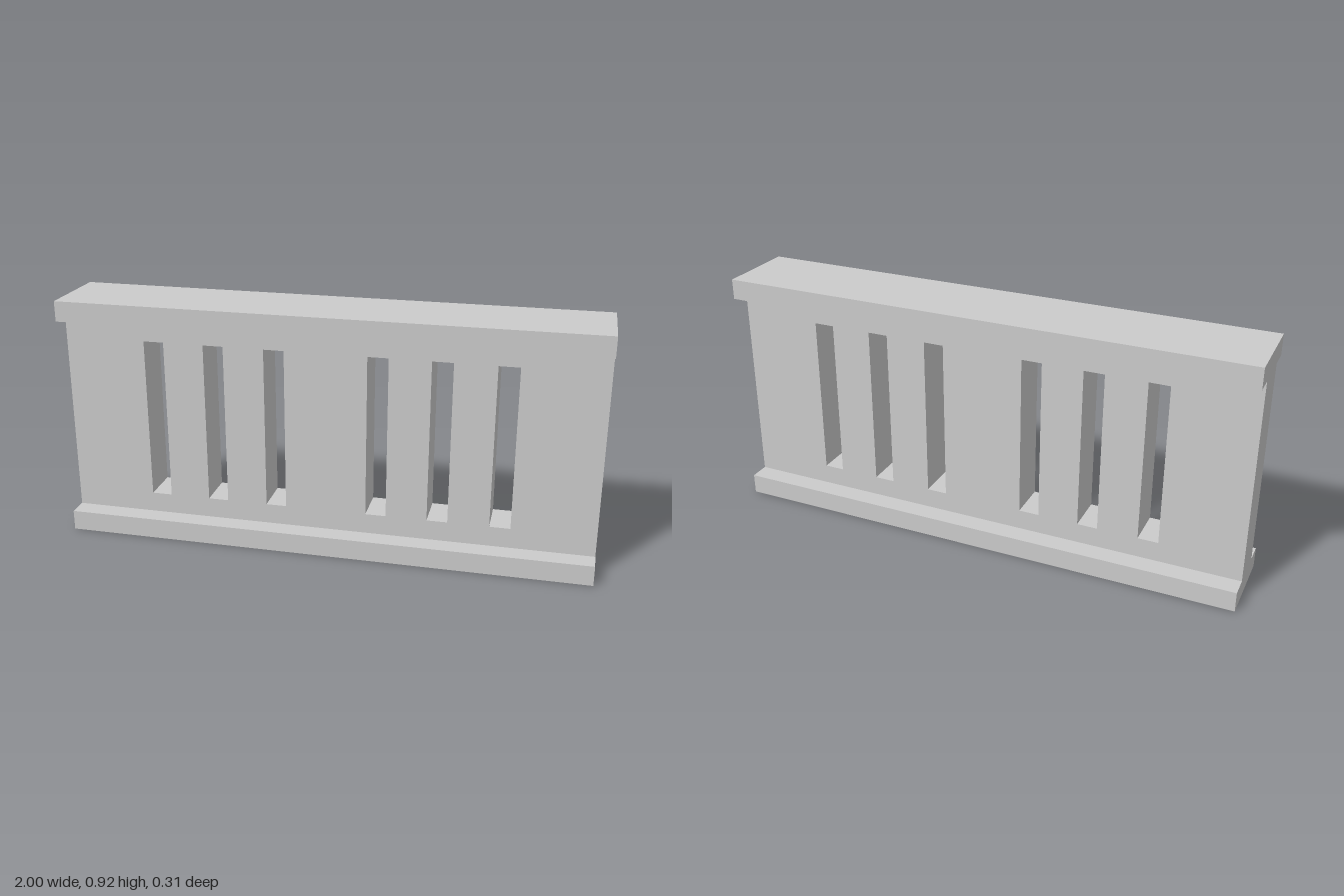
import * as THREE from 'three';

const U = 1 / 13; // grid module: the wall is 26 x 12 x 4 modules

function rectangle(Type, x, y, w, h) {
  const r = new Type();
  r.moveTo(x, y);
  r.lineTo(x + w, y);
  r.lineTo(x + w, y + h);
  r.lineTo(x, y + h);
  r.closePath();
  return r;
}

export function createModel() {
  const model = new THREE.Group();
  model.name = 'slottedWall';
  const material = new THREE.MeshStandardMaterial({ color: 0xcccccc, flatShading: true });

  const add = (name, geometry, y) => {
    const mesh = new THREE.Mesh(geometry, material);
    mesh.name = name;
    mesh.position.y = y;
    model.add(mesh);
  };

  // Wide rails along the bottom and the top
  const rail = new THREE.BoxGeometry(26 * U, U, 4 * U);
  add('bottomRail', rail, 0.5 * U);
  add('topRail', rail, 11.5 * U);

  // Thinner panel between the rails, pierced by mirrored groups of three slots
  const outline = rectangle(THREE.Shape, -13 * U, 0, 26 * U, 10 * U);
  for (const start of [2, 5, 8]) {
    for (const x of [start, -start - 1]) {
      outline.holes.push(rectangle(THREE.Path, x * U, U, U, 8 * U));
    }
  }
  const panel = new THREE.ExtrudeGeometry(outline, { depth: 2 * U, bevelEnabled: false });
  panel.translate(0, 0, -U);
  add('slottedPanel', panel, U);

  return model;
}
